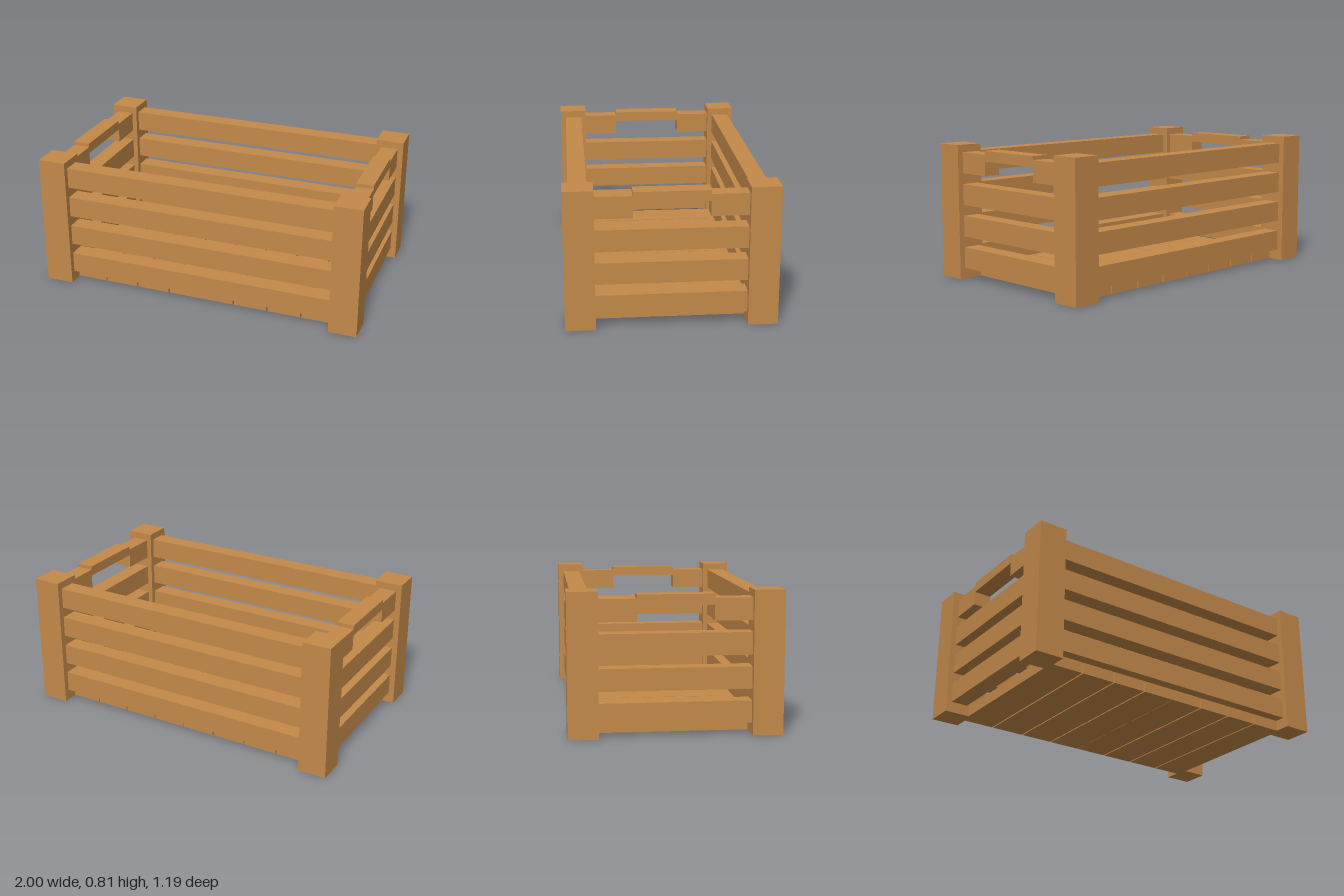
import * as THREE from 'three';

export function createModel() {
  const crate = new THREE.Group();
  crate.name = 'slattedCrate';

  const wood = new THREE.MeshStandardMaterial({ color: 0xc48a4a });
  wood.name = 'wood';

  // Box given by its lower and upper limits on each axis
  const plank = (name, [x0, x1], [y0, y1], [z0, z1]) => {
    const mesh = new THREE.Mesh(new THREE.BoxGeometry(x1 - x0, y1 - y0, z1 - z0), wood);
    mesh.name = name;
    mesh.position.set((x0 + x1) / 2, (y0 + y1) / 2, (z0 + z1) / 2);
    crate.add(mesh);
  };
  // Limits mirrored to the chosen side of an axis
  const mirror = (side, a, b) => (side > 0 ? [a, b] : [-b, -a]);

  const postX = 0.83, postZ = 0.426, depth = 0.597, floorTop = 0.066;
  const slatHeight = 0.126, slatPitch = 0.1913;
  const slatY = (row) => [floorTop + row * slatPitch, floorTop + row * slatPitch + slatHeight];

  // Corner posts
  for (const sx of [1, -1])
    for (const sz of [1, -1])
      plank('cornerPost', mirror(sx, postX, 1), [0, 0.81], mirror(sz, postZ, depth));

  // Floor boards, set back under the long slats; the middle two almost touch
  const boardWidth = 0.205, boardPitch = 0.2133;
  for (const side of [1, -1])
    for (let i = 0; i < 4; i++) {
      const x = 0.001 + i * boardPitch;
      plank('floorBoard', mirror(side, x, x + boardWidth), [0, floorTop], [-0.5, 0.5]);
    }

  for (const side of [1, -1]) {
    // Long slats, front and back
    for (let row = 0; row < 4; row++)
      plank('longSlat', [-postX, postX], slatY(row), mirror(side, 0.457, 0.563));

    // End slats; the top one is split around the handle
    const endX = mirror(side, 0.861, 0.965);
    for (let row = 0; row < 3; row++)
      plank('endSlat', endX, slatY(row), [-postZ, postZ]);
    for (const sz of [1, -1])
      plank('handleSupport', endX, slatY(3), mirror(sz, 0.214, postZ));
    plank('handle', endX, [0.726, 0.788], [-0.214, 0.214]);
  }

  return crate;
}
